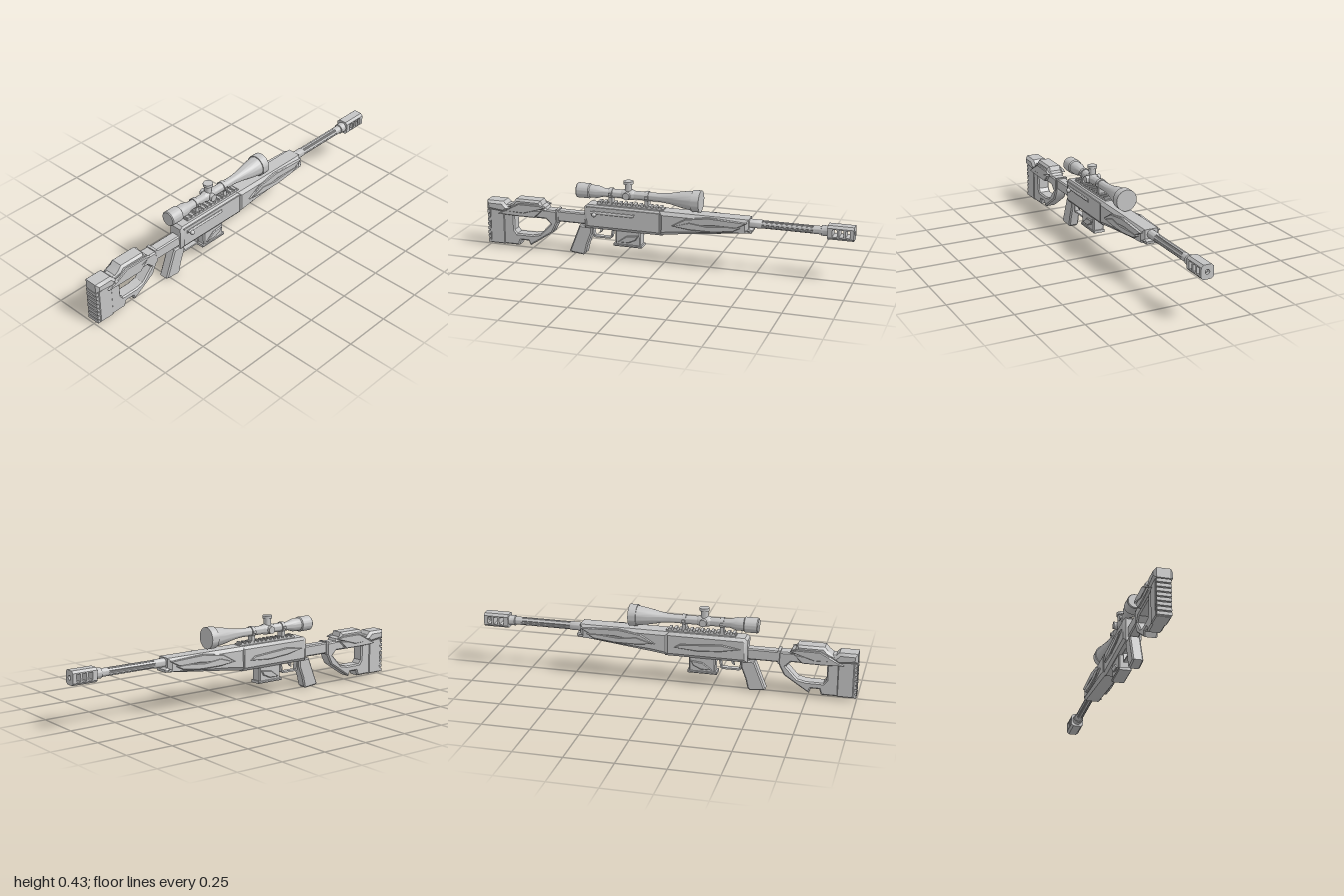
import * as THREE from 'three';
import { toCreasedNormals } from 'three/addons/utils/BufferGeometryUtils.js';

const grey = new THREE.MeshStandardMaterial({ color: 0xc4c4c4 });
grey.name = 'matte grey';

const toPath = (pts) => pts.map(([a, b]) => new THREE.Vector2(a, b));

export function createModel() {
  const model = new THREE.Group();
  model.name = 'scopedRifle';
  const body = new THREE.Group();
  body.name = 'body';
  body.position.z = -0.003;
  model.add(body);

  function add(name, geometry, x = 0, y = 0, z = 0) {
    const mesh = new THREE.Mesh(toCreasedNormals(geometry, 0.6), grey);
    mesh.name = name;
    mesh.position.set(x, y, z);
    body.add(mesh);
    return mesh;
  }
  // Side profile (x, y) extruded across z, chamfered by `size` over depth `thick`
  function slab(name, pts, half, size = 0, thick = size, hole = null, z = 0) {
    const shape = new THREE.Shape(toPath(pts));
    if (hole) shape.holes.push(new THREE.Path(toPath(hole)));
    const depth = 2 * (half - thick);
    const g = new THREE.ExtrudeGeometry(shape, {
      depth, bevelEnabled: size > 0, bevelSize: size, bevelOffset: -size,
      bevelThickness: thick, bevelSegments: 1,
    });
    g.translate(0, 0, -depth / 2);
    return add(name, g, 0, 0, z);
  }
  // Cross-section (z, y) extruded along x
  function section(name, pts, x0, x1, y, boreRadius = 0) {
    const shape = new THREE.Shape(toPath(pts));
    if (boreRadius) {
      const bore = new THREE.Path();
      bore.absarc(0, 0, boreRadius, 0, Math.PI * 2, true);
      shape.holes.push(bore);
    }
    const g = new THREE.ExtrudeGeometry(shape, { depth: x1 - x0, bevelEnabled: false, curveSegments: 16 });
    return add(name, g.rotateY(Math.PI / 2), x0, y, 0);
  }
  // Turned part along x from (x, radius) pairs
  function turned(name, pts, y, sides = 32) {
    const profile = pts.map(([x, r]) => new THREE.Vector2(r, x));
    return add(name, new THREE.LatheGeometry(profile, sides).rotateZ(-Math.PI / 2), 0, y, 0);
  }
  const box = (name, x0, x1, y0, y1, half, z = 0) => add(name,
    new THREE.BoxGeometry(x1 - x0, y1 - y0, half * 2), (x0 + x1) / 2, (y0 + y1) / 2, z);
  // The same plate on both flanks
  const plates = (name, pts, z, half = 0.008) => [-1, 1].forEach((s) =>
    slab(name, pts, half, 0.004, 0.004, null, s * z));

  // --- Stock: skeleton frame, butt, cheek rest ---
  slab('stockFrame', [[-0.98, 0.02], [-0.82, 0.02], [-0.81, 0.05], [-0.765, 0.05], [-0.755, 0.025],
    [-0.7, 0.06], [-0.625, 0.11], [-0.595, 0.17], [-0.595, 0.235], [-0.9, 0.245], [-0.98, 0.245]],
  0.034, 0.007, 0.007, [[-0.845, 0.185], [-0.845, 0.105], [-0.83, 0.085], [-0.74, 0.085],
    [-0.695, 0.095], [-0.635, 0.16], [-0.66, 0.185]]);
  slab('buttBlock', [[-0.985, 0.02], [-0.9, 0.02], [-0.9, 0.215], [-0.985, 0.215]], 0.038, 0.005);
  slab('buttCap', [[-1, 0.212], [-0.9, 0.2], [-0.87, 0.225], [-0.905, 0.262], [-1, 0.262]], 0.048, 0.014);
  box('buttPad', -0.99, -0.975, 0.025, 0.215, 0.034);
  for (let i = 0; i < 8; i++) box('padRib', -1, -0.985, 0.022 + i * 0.024, 0.039 + i * 0.024, 0.036);
  slab('cheekRest', [[-0.89, 0.23], [-0.65, 0.23], [-0.66, 0.25], [-0.68, 0.258], [-0.69, 0.283],
    [-0.83, 0.283], [-0.85, 0.26]], 0.042, 0.012);
  plates('cheekLeafUpper', [[-0.89, 0.215], [-0.78, 0.21], [-0.655, 0.25], [-0.69, 0.262],
    [-0.81, 0.262], [-0.85, 0.24]], 0.046);
  plates('cheekLeafLower', [[-0.93, 0.195], [-0.82, 0.19], [-0.72, 0.19], [-0.675, 0.235],
    [-0.77, 0.225], [-0.86, 0.232]], 0.041, 0.01);
  slab('stockTube', [[-0.6, 0.176], [-0.43, 0.176], [-0.43, 0.236], [-0.6, 0.236]], 0.027, 0.006);
  box('stockTubeCollar', -0.605, -0.59, 0.17, 0.241, 0.031);

  // --- Receiver and fore-end ---
  slab('receiver', [[-0.435, 0.162], [0, 0.162], [0, 0.293], [-0.42, 0.293], [-0.435, 0.28]],
    0.047, 0.016, 0.012);
  slab('foreEnd', [[-0.02, 0.165], [0.08, 0.178], [0.455, 0.222], [0.475, 0.222], [0.48, 0.238],
    [0.46, 0.245], [0.46, 0.294], [-0.02, 0.294]], 0.05, 0.018, 0.014);
  plates('foreEndLeafLong', [[0.05, 0.225], [0.13, 0.272], [0.25, 0.29], [0.455, 0.279],
    [0.4, 0.248], [0.27, 0.25], [0.17, 0.238]], 0.05, 0.009);
  plates('foreEndLeafShort', [[0.06, 0.226], [0.15, 0.256], [0.24, 0.245], [0.36, 0.255], [0.42, 0.25],
    [0.38, 0.228], [0.27, 0.215], [0.15, 0.215]], 0.053, 0.008);
  slab('receiverLeaf', [[-0.4, 0.235], [-0.3, 0.252], [-0.08, 0.235], [-0.05, 0.215], [-0.18, 0.205],
    [-0.3, 0.215]], 0.007, 0.004, 0.004, null, -0.048);
  box('ejectionPort', -0.4, -0.15, 0.245, 0.262, 0.004, 0.047);
  box('sidePlate', -0.42, -0.01, 0.277, 0.283, 0.003, 0.047);
  const rod = add('bolt', new THREE.CylinderGeometry(0.008, 0.008, 0.24, 12), -0.275, 0.254, 0.048);
  rod.rotation.z = Math.PI / 2;
  const handle = add('boltHandle', new THREE.CylinderGeometry(0.006, 0.006, 0.03, 10), -0.372, 0.25, 0.052);
  handle.rotation.x = Math.PI / 2 + 0.3;
  add('boltKnob', new THREE.SphereGeometry(0.012, 14, 10), -0.374, 0.245, 0.06);

  // Toothed mounting rail
  box('railBase', -0.37, 0, 0.288, 0.301, 0.022);
  for (let i = 0; i < 13; i++) box('railTooth', -0.365 + i * 0.028, -0.35 + i * 0.028, 0.298, 0.31, 0.022);

  // --- Grip, trigger, magazine ---
  slab('grip', [[-0.53, 0.016], [-0.515, 0.01], [-0.45, 0.003], [-0.437, 0.014], [-0.425, 0.065],
    [-0.4, 0.13], [-0.4, 0.168], [-0.47, 0.168]], 0.028, 0.007);
  slab('triggerGuard', [[-0.405, 0.165], [-0.398, 0.112], [-0.39, 0.105], [-0.3, 0.105],
    [-0.29, 0.112], [-0.28, 0.165]], 0.014, 0, 0,
  [[-0.395, 0.159], [-0.29, 0.159], [-0.298, 0.114], [-0.389, 0.114]]);
  slab('trigger', [[-0.365, 0.165], [-0.345, 0.165], [-0.345, 0.15], [-0.352, 0.135], [-0.364, 0.13],
    [-0.357, 0.148]], 0.006);
  slab('magazine', [[-0.265, 0.082], [-0.125, 0.082], [-0.125, 0.168], [-0.265, 0.168]], 0.031, 0.006);
  slab('magazineFloor', [[-0.275, 0.075], [-0.118, 0.075], [-0.118, 0.09], [-0.275, 0.09]], 0.034, 0.004);
  plates('magazineLeaf', [[-0.25, 0.1], [-0.2, 0.138], [-0.135, 0.145], [-0.15, 0.118], [-0.19, 0.1]], 0.031, 0.007);

  // --- Barrel with flutes, and muzzle brake ---
  const barrelY = 0.267;
  turned('barrelRoot', [[0.44, 0], [0.44, 0.023], [0.52, 0.023], [0.525, 0.02], [0.525, 0]], barrelY);
  const fluted = [];
  for (let i = 0; i < 48; i++) {
    const a = (i / 48) * Math.PI * 2, r = i % 8 < 3 ? 0.0175 : 0.0215;
    fluted.push([r * Math.cos(a), r * Math.sin(a)]);
  }
  section('flutedBarrel', fluted, 0.52, 0.8, barrelY);
  turned('barrelTip', [[0.79, 0], [0.79, 0.0215], [0.83, 0.0215], [0.832, 0.027], [0.865, 0.027],
    [0.87, 0.03], [0.87, 0]], barrelY);
  const h = 0.037, w = 0.034, c = 0.012;
  const octagon = [[-w, c - h], [c - w, -h], [w - c, -h], [w, c - h], [w, h - c], [w - c, h], [c - w, h], [-w, h - c]];
  section('brakeRear', octagon, 0.865, 0.89, barrelY);
  [0.914, 0.947].forEach((x) => section('brakePost', octagon, x, x + 0.011, barrelY));
  section('brakeFront', octagon, 0.98, 1, barrelY, 0.012);
  const strip = [[-w, 0.019], [w, 0.019], [w, h - c], [w - c, h], [c - w, h], [-w, h - c]];
  section('brakeTop', strip, 0.89, 0.98, barrelY);
  section('brakeBottom', strip.map(([z, y]) => [z, -y]).reverse(), 0.89, 0.98, barrelY);

  // --- Scope ---
  const scopeY = 0.357;
  turned('scopeTube', [[-0.485, 0], [-0.485, 0.036], [-0.48, 0.04], [-0.415, 0.04], [-0.41, 0.034],
    [-0.37, 0.034], [-0.335, 0.023], [-0.02, 0.023], [0.03, 0.029], [0.09, 0.042], [0.14, 0.05],
    [0.155, 0.052], [0.155, 0.057], [0.197, 0.057], [0.197, 0]], scopeY, 40);
  [-0.295, -0.095].forEach((x) => {
    turned('scopeRing', [[x - 0.01, 0], [x - 0.01, 0.028], [x + 0.01, 0.028], [x + 0.01, 0]], scopeY);
    box('ringFoot', x - 0.01, x + 0.01, 0.3, 0.342, 0.018);
    box('ringClamp', x - 0.008, x + 0.008, 0.35, 0.364, 0.033);
  });
  turned('turretHousing', [[-0.235, 0], [-0.235, 0.023], [-0.222, 0.028], [-0.178, 0.028],
    [-0.165, 0.023], [-0.165, 0]], scopeY);
  add('topTurretNeck', new THREE.CylinderGeometry(0.019, 0.019, 0.05, 24), -0.2, 0.392);
  add('topTurretKnob', new THREE.CylinderGeometry(0.026, 0.026, 0.015, 24), -0.2, 0.423);
  [-1, 1].forEach((s) => {
    const knob = add('sideTurret', new THREE.CylinderGeometry(0.019, 0.019, 0.022, 24), -0.2, scopeY, s * 0.032);
    knob.rotation.x = Math.PI / 2;
  });

  return model;
}
